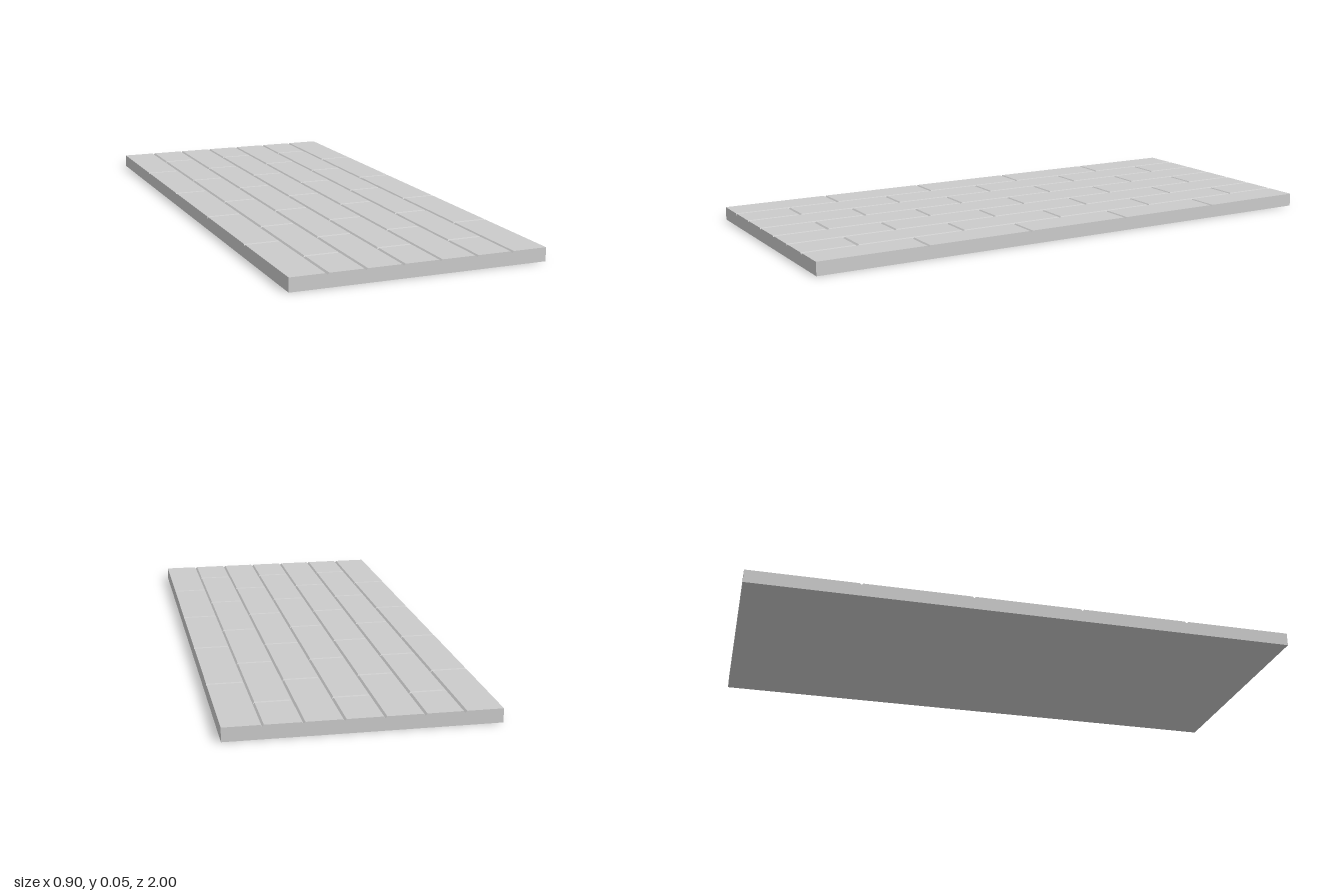
import * as THREE from 'three';

const WIDTH = 0.905, LENGTH = 2, HEIGHT = 0.048;
const GROOVE_DEPTH = 0.006, GROOVE_HALF = 0.006;
const FLOOR = HEIGHT - GROOVE_DEPTH;

// Plank cap: sides slope inward next to a groove and stay upright on the outer rim.
function plankGeometry(x0, x1, z0, z1) {
  const box = new THREE.BoxGeometry(1, 1, 1);
  const index = Array.from(box.index.array);
  index.splice(18, 6); // underside rests on the slab
  box.setIndex(index);
  const geometry = box.toNonIndexed();
  const p = geometry.attributes.position;
  const edge = (value, limit, top, inward) =>
    top && Math.abs(value) < limit - 1e-4 ? value + inward * GROOVE_HALF : value;
  for (let i = 0; i < p.count; i++) {
    const top = p.getY(i) > 0;
    const right = p.getX(i) > 0, front = p.getZ(i) > 0;
    p.setXYZ(i,
      edge(right ? x1 : x0, WIDTH / 2, top, right ? -1 : 1),
      top ? HEIGHT : FLOOR,
      edge(front ? z1 : z0, LENGTH / 2, top, front ? -1 : 1));
  }
  geometry.computeVertexNormals();
  return geometry;
}

export function createModel() {
  const group = new THREE.Group();
  group.name = 'plankPanel';
  const material = new THREE.MeshStandardMaterial({ color: 0xcccccc, flatShading: true });

  // Solid slab up to the bottom of the grooves
  const slab = new THREE.Mesh(new THREE.BoxGeometry(WIDTH, FLOOR, LENGTH), material);
  slab.name = 'slab';
  slab.position.y = FLOOR / 2;
  group.add(slab);

  // Seven columns of planks with staggered joints
  const xs = [-WIDTH / 2, -0.325, -0.195, -0.065, 0.065, 0.195, 0.325, WIDTH / 2];
  const evenJoints = [-1, -0.6, -0.2, 0.2, 0.6, 1];
  const oddJoints = [-1, -0.8, -0.4, 0, 0.4, 0.8, 1];
  for (let c = 0; c < xs.length - 1; c++) {
    const column = new THREE.Group();
    column.name = `plankColumn${c + 1}`;
    const zs = c % 2 ? oddJoints : evenJoints;
    for (let r = 0; r < zs.length - 1; r++) {
      const plank = new THREE.Mesh(plankGeometry(xs[c], xs[c + 1], zs[r], zs[r + 1]), material);
      plank.name = `plank${r + 1}`;
      column.add(plank);
    }
    group.add(column);
  }
  return group;
}
